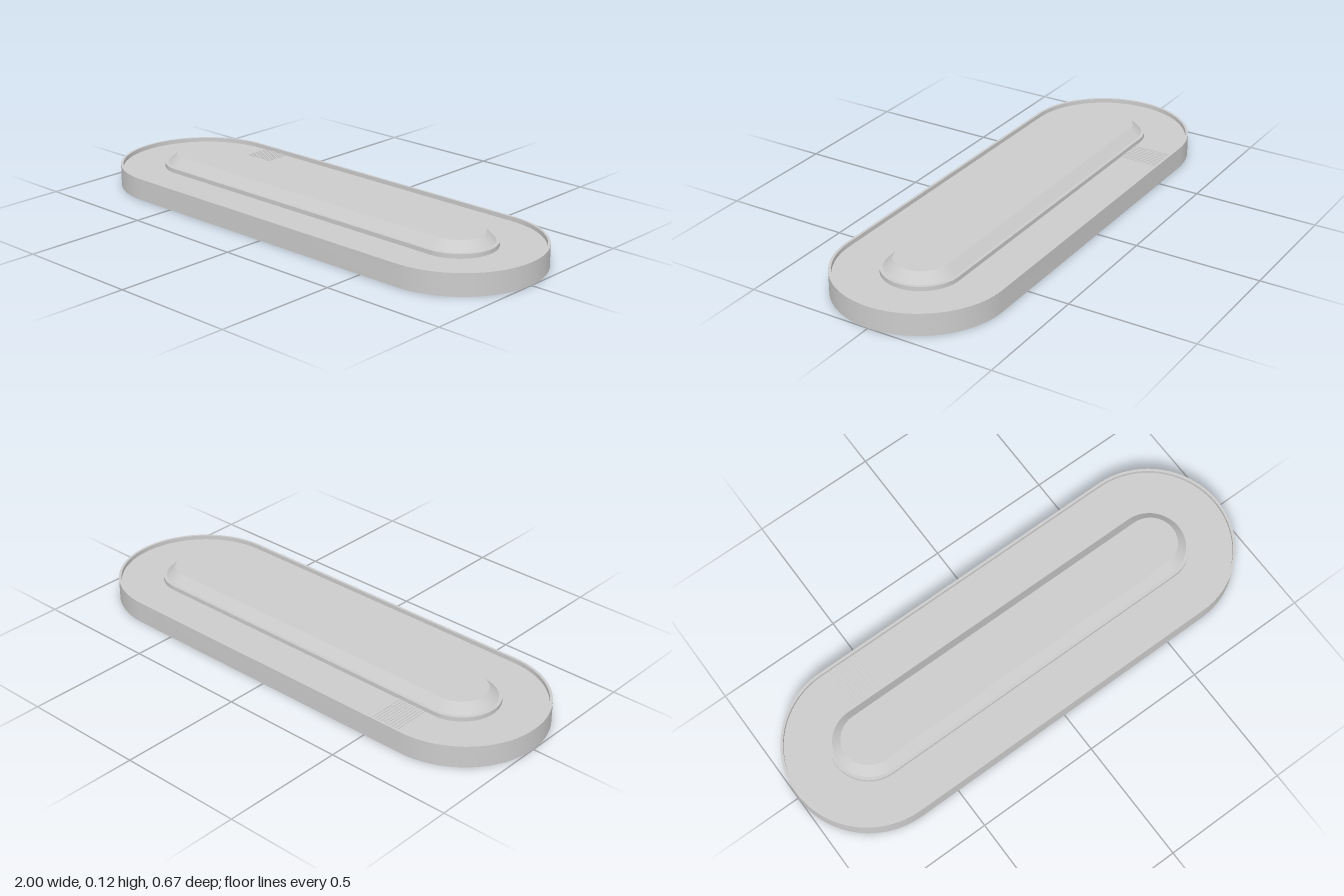
import * as THREE from 'three';
import { toCreasedNormals } from 'three/addons/utils/BufferGeometryUtils.js';

const HALF_STRAIGHT = 0.667;
const SURFACE = 0.07, WALL_TOP = 0.087, INFIELD_TOP = 0.122;

// Stadium outline: two straights joined by half circles
function stadium(r, Type = THREE.Shape) {
  const s = new Type();
  s.moveTo(-HALF_STRAIGHT, -r);
  s.lineTo(HALF_STRAIGHT, -r);
  s.absarc(HALF_STRAIGHT, 0, r, -Math.PI / 2, Math.PI / 2, false);
  s.lineTo(-HALF_STRAIGHT, r);
  s.absarc(-HALF_STRAIGHT, 0, r, Math.PI / 2, Math.PI * 1.5, false);
  return s;
}

// Extrudes a shape upwards from height y
function raise(shape, y, depth, bevel = {}) {
  const g = new THREE.ExtrudeGeometry(shape, { depth, bevelEnabled: false, curveSegments: 24, ...bevel });
  return g.rotateX(-Math.PI / 2).translate(0, y, 0);
}

export function createModel() {
  const group = new THREE.Group();
  const material = new THREE.MeshStandardMaterial({ color: 0xcccccc });
  const add = (name, geometry, parent = group) => {
    const mesh = new THREE.Mesh(geometry, material);
    mesh.name = name;
    parent.add(mesh);
    return mesh;
  };
  const ring = (outer, inner) => {
    const s = stadium(outer);
    s.holes.push(stadium(inner, THREE.Path));
    return raise(s, SURFACE, WALL_TOP - SURFACE);
  };

  // Track slab and its two low walls
  add('trackBase', toCreasedNormals(raise(stadium(0.333), 0, SURFACE), 0.5));
  add('outerWall', ring(0.333, 0.323));
  add('innerWall', ring(0.153, 0.139));

  // Raised infield with a 45 degree slope; its lower half sits inside the base
  const slope = INFIELD_TOP - WALL_TOP;
  add('infield', raise(stadium(0.105), INFIELD_TOP - slope - 0.02, 0.02,
    { bevelEnabled: true, bevelSize: slope, bevelThickness: slope, bevelSegments: 1 }));

  // Start line made of thin strips across the back straight
  const startLine = new THREE.Group();
  startLine.name = 'startLine';
  const strip = new THREE.BoxGeometry(0.007, 0.004, 0.17);
  for (let i = 0; i < 10; i++) {
    add('startStrip', strip, startLine).position.set(-0.628 + i * 0.0128, SURFACE, -0.238);
  }
  group.add(startLine);
  return group;
}
